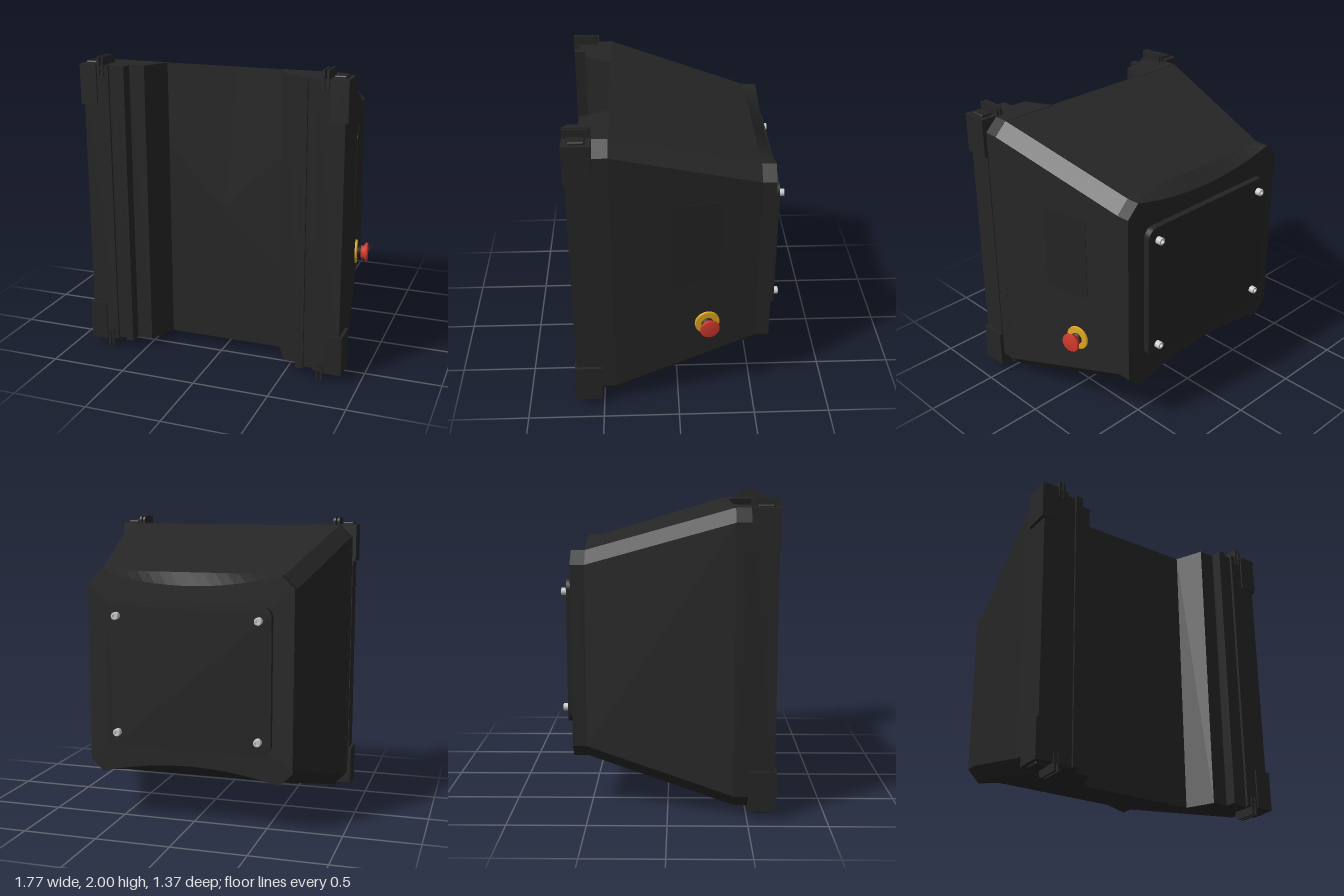
import * as THREE from 'three';
import { RoundedBoxGeometry } from 'three/addons/geometries/RoundedBoxGeometry.js';

const mat = (color) => new THREE.MeshStandardMaterial({ color });
const flat = (color) => new THREE.MeshStandardMaterial({ color, flatShading: true });
const black = flat(0x262626), dark = mat(0x242424), red = mat(0xd23a2e), yellow = mat(0xe0a820), steel = mat(0xcccccc);

function add(parent, name, geometry, material, x = 0, y = 0, z = 0) {
  const mesh = new THREE.Mesh(geometry, material);
  mesh.name = name;
  mesh.position.set(x, y, z);
  parent.add(mesh);
  return mesh;
}

// Rounded rectangle outline centred on the origin
function roundedRect(w, h, r) {
  const s = new THREE.Shape(), x = w / 2, y = h / 2;
  s.moveTo(-x + r, -y).lineTo(x - r, -y).absarc(x - r, -y + r, r, -Math.PI / 2, 0);
  s.lineTo(x, y - r).absarc(x - r, y - r, r, 0, Math.PI / 2);
  s.lineTo(-x + r, y).absarc(-x + r, y - r, r, Math.PI / 2, Math.PI);
  s.lineTo(-x, -y + r).absarc(-x + r, -y + r, r, Math.PI, Math.PI * 1.5);
  return s;
}

// Chamfered cross-section; dip bows the top and bottom edges inward
function section(z, hx, hy, dip) {
  const pts = [], n = 16, c = 0.085, ix = hx - c;
  for (const s of [1, -1]) {
    pts.push([s * hx, 1 - s * (hy - c), z], [s * hx, 1 + s * (hy - c), z]);
    for (let i = 0; i <= n; i++) {
      const t = 1 - (2 * i) / n;
      pts.push([s * ix * t, 1 + s * (hy - dip * (1 - t * t)), z]);
    }
  }
  return pts;
}

// Closed loft through sections ordered from back to front
function loft(sections) {
  const out = [], n = sections[0].length;
  const tri = (...p) => p.forEach((v) => out.push(...v));
  for (let s = 0; s < sections.length - 1; s++) {
    const A = sections[s], B = sections[s + 1];
    for (let j = 0; j < n; j++) {
      const k = (j + 1) % n;
      tri(A[j], A[k], B[j]);
      tri(A[k], B[k], B[j]);
    }
  }
  const first = sections[0], last = sections[sections.length - 1];
  for (let j = 0; j < n; j++) {
    const k = (j + 1) % n;
    tri([0, 1, first[0][2]], first[k], first[j]);
    tri([0, 1, last[0][2]], last[j], last[k]);
  }
  const g = new THREE.BufferGeometry();
  g.setAttribute('position', new THREE.Float32BufferAttribute(out, 3));
  g.computeVertexNormals();
  return g;
}

export function createModel() {
  const model = new THREE.Group();
  model.name = 'controlHousing';

  // Tapered housing with a scalloped back rim
  add(model, 'housing', loft([
    section(-0.61, 0.69, 0.67, 0.08),
    section(-0.52, 0.69, 0.67, 0),
    section(0.42, 0.86, 0.945, 0),
  ]), black);

  // Back cover and its four screws
  const cover = new THREE.ExtrudeGeometry(roundedRect(1.11, 0.95, 0.07), { depth: 0.045, bevelEnabled: false });
  add(model, 'backCover', cover, dark, 0, 1.005, -0.652);
  for (const x of [-0.475, 0.475]) for (const y of [0.62, 1.39]) {
    const screw = new THREE.Group();
    screw.name = 'coverScrew';
    screw.position.set(x, y, -0.65);
    screw.rotation.x = -Math.PI / 2;
    add(screw, 'screwHead', new THREE.LatheGeometry(
      [[0.025, 0], [0.025, 0.036], [0.022, 0.039], [0.013, 0.039], [0.013, 0.02], [0, 0.02]]
        .map(([r, h]) => new THREE.Vector2(r, h)), 20), flat(0xcccccc));
    model.add(screw);
  }

  // Front side rails with a T-slot, mirrored
  const railProfile = [[0.39, 0.41], [0.39, 0.42], [0.475, 0.595], [0.58, 0.595], [0.58, 0.675], [0.63, 0.675],
    [0.63, 0.66], [0.62, 0.66], [0.62, 0.645], [0.70, 0.645], [0.70, 0.66], [0.69, 0.66], [0.69, 0.675],
    [0.865, 0.675], [0.865, 0.51], [0.775, 0.51], [0.775, 0.41]];
  // Chamfered shoulder joining each rail to the housing
  const shoulderProfile = [[0.77, 0.055], [0.775, 0.055], [0.86, 0.14], [0.86, 1.86], [0.775, 1.945], [0.77, 1.945]];
  for (const side of [-1, 1]) {
    const rail = new THREE.ExtrudeGeometry(
      new THREE.Shape(railProfile.map(([x, z]) => new THREE.Vector2(side * x, -z))),
      { depth: 1.89, bevelEnabled: false });
    rail.rotateX(-Math.PI / 2);
    add(model, 'frontRail', rail, black, 0, 0.055, 0);

    const shoulder = new THREE.ExtrudeGeometry(
      new THREE.Shape(shoulderProfile.map(([x, y]) => new THREE.Vector2(side * x, y))),
      { depth: 0.1, bevelEnabled: false });
    add(model, 'railShoulder', shoulder, black, 0, 0, 0.415);

    // Corner guards with pad and twin fins, top and bottom
    for (const end of [-1, 1]) {
      const corner = new THREE.Group();
      corner.name = 'cornerGuard';
      add(corner, 'guardBlock', new THREE.BoxGeometry(0.115, 0.26, 0.175), black, side * 0.8275, 1 + end * 0.82, 0.5975);
      add(corner, 'guardPad', new RoundedBoxGeometry(0.08, 0.06, 0.1, 2, 0.01), dark, side * 0.82, 1 + end * 0.937, 0.595);
      const fin = new THREE.Shape();
      fin.moveTo(-0.685, 0.88).lineTo(-0.515, 0.88).lineTo(-0.515, 0.97);
      fin.absarc(-0.545, 0.97, 0.03, 0, Math.PI / 2).lineTo(-0.685, 1);
      for (const x of [0.727, 0.755]) {
        const g = new THREE.ExtrudeGeometry(fin, { depth: 0.015, bevelEnabled: false, curveSegments: 6 });
        g.rotateY(Math.PI / 2).translate(-0.0075, 0, 0);
        const points = g.attributes.position;
        // Shape x runs along -z after the turn
        for (let i = 0; i < points.count; i++) points.setY(i, points.getY(i));
        const mesh = add(corner, 'guardFin', g, black, side * x, 1, 0);
        if (end < 0) mesh.rotation.set(0, 0, Math.PI);
      }
      model.add(corner);
    }
  }

  // Frame lying on the sloping left wall: local +z points out of the wall
  const onWall = (name, y, z) => {
    const g = new THREE.Group();
    g.name = name;
    g.position.set(0.69 + (z + 0.52) * 0.181, y, z);
    g.rotation.y = Math.PI / 2 + Math.atan(0.181);
    model.add(g);
    return g;
  };

  // Flush access panel
  const panel = onWall('accessPanel', 1.19, -0.115);
  add(panel, 'panelPlate', new THREE.ExtrudeGeometry(roundedRect(0.33, 0.58, 0.04),
    { depth: 0.006, bevelEnabled: false }), dark, 0, 0, -0.003);

  // Emergency stop button
  const stop = onWall('stopButton', 0.575, -0.19);
  const turned = (name, profile, material) => {
    const g = new THREE.LatheGeometry(profile.map(([r, h]) => new THREE.Vector2(r, h)), 32);
    add(stop, name, g.rotateX(Math.PI / 2), material);
  };
  turned('buttonCollar', [[0.083, -0.005], [0.083, 0.012], [0.078, 0.015], [0, 0.015]], yellow);
  turned('buttonStem', [[0.04, 0], [0.04, 0.05], [0, 0.05]], dark);
  turned('buttonCap', [[0, 0.04], [0.043, 0.04], [0.045, 0.06], [0.064, 0.072], [0.066, 0.082], [0.06, 0.09], [0, 0.092]], red);

  return model;
}
